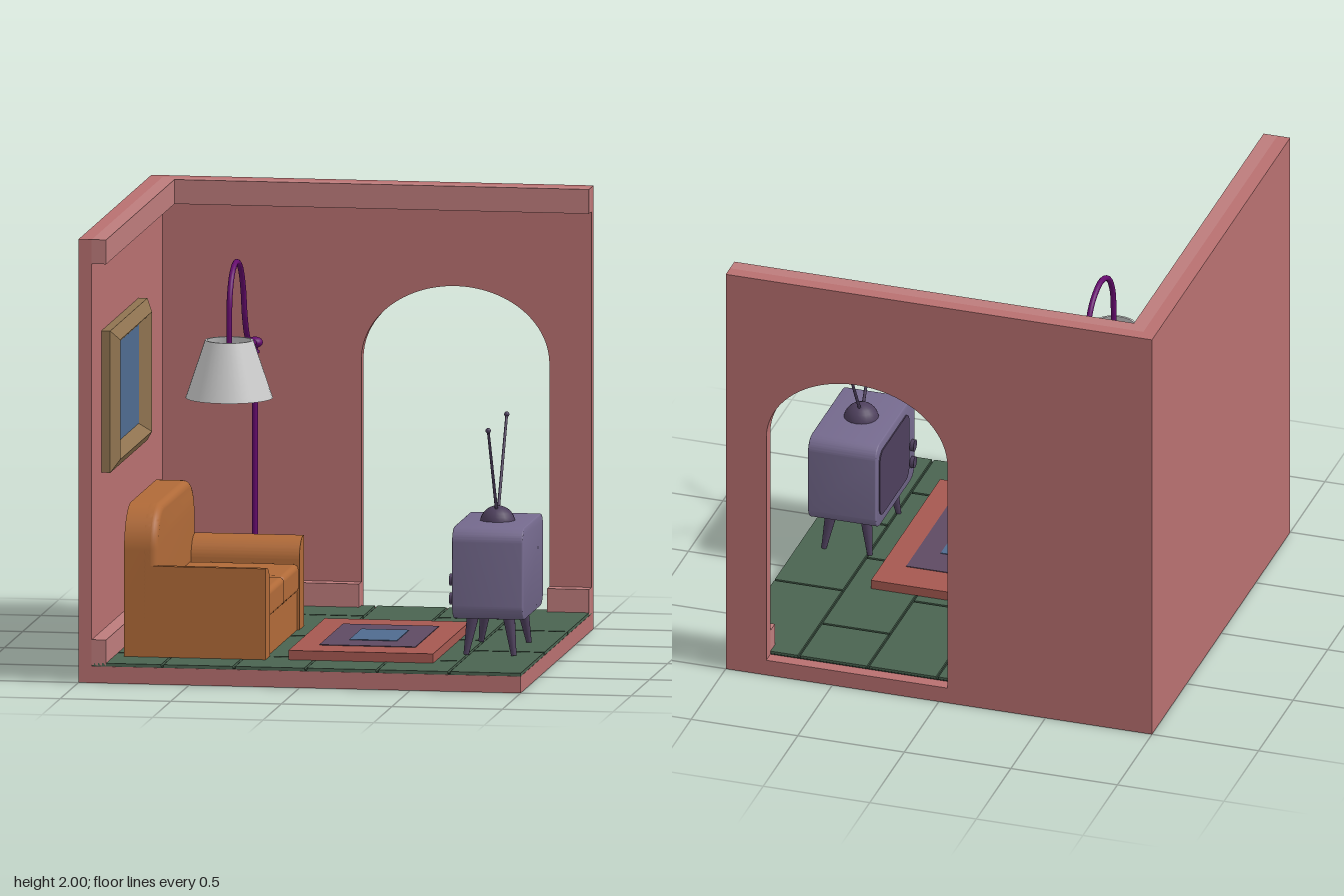
import * as THREE from 'three';
import { toCreasedNormals } from 'three/addons/utils/BufferGeometryUtils.js';
import { RoundedBoxGeometry } from 'three/addons/geometries/RoundedBoxGeometry.js';

const paint = (color) => new THREE.MeshStandardMaterial({ color, side: THREE.DoubleSide });
const WALL = paint(0xb87070), TRIM = paint(0xbd7c7c), TILE = paint(0x4a6350), GROUT = paint(0x2b3b30);
const SOFA = paint(0xb06a38), FRAME = paint(0x8f7350), BLUE = paint(0x4f6b8f), RUG = paint(0xa55850);
const RUG_MID = paint(0x5e4a62), TV = paint(0x756a8e), DARK = paint(0x4d3f5c), PURPLE = paint(0x640a6c);
const GREY = paint(0xcccccc);

function add(parent, name, geometry, material) {
  const mesh = new THREE.Mesh(geometry, material);
  mesh.name = name;
  parent.add(mesh);
  return mesh;
}

function group(parent, name) {
  const g = new THREE.Group();
  g.name = name;
  parent.add(g);
  return g;
}

// Box given by its lowest and highest corners, optionally rounded
function box(x0, x1, y0, y1, z0, z1, r = 0) {
  const s = [x1 - x0, y1 - y0, z1 - z0];
  const g = r ? new RoundedBoxGeometry(...s, 3, r) : new THREE.BoxGeometry(...s);
  return g.translate((x0 + x1) / 2, (y0 + y1) / 2, (z0 + z1) / 2);
}

// Rectangle in (z, y) with radii for bottom-low-z, bottom-high-z, top-high-z, top-low-z corners
function panel(z0, z1, y0, y1, [a, b, c, d]) {
  const s = new THREE.Shape();
  s.moveTo(z0 + a, y0);
  s.lineTo(z1 - b, y0);
  if (b) s.absarc(z1 - b, y0 + b, b, -Math.PI / 2, 0);
  s.lineTo(z1, y1 - c);
  if (c) s.absarc(z1 - c, y1 - c, c, 0, Math.PI / 2);
  s.lineTo(z0 + d, y1);
  if (d) s.absarc(z0 + d, y1 - d, d, Math.PI / 2, Math.PI);
  s.lineTo(z0, y0 + a);
  if (a) s.absarc(z0 + a, y0 + a, a, Math.PI, Math.PI * 1.5);
  return s;
}

// Extrude a (z, y) shape along x from x0 to x1
function alongX(shape, x0, x1, bevel = 0) {
  const g = new THREE.ExtrudeGeometry(shape, {
    depth: x1 - x0 - 2 * bevel, curveSegments: 12, bevelEnabled: bevel > 0,
    bevelThickness: bevel, bevelSize: bevel, bevelOffset: -bevel, bevelSegments: 4,
  });
  g.rotateY(-Math.PI / 2).translate(x1 - bevel, 0, 0);
  return toCreasedNormals(g, 0.6);
}

// Tapered rod between two points
function rod(a, b, ra, rb) {
  const from = new THREE.Vector3(...a), to = new THREE.Vector3(...b);
  const dir = to.clone().sub(from);
  const g = new THREE.CylinderGeometry(rb, ra, dir.length(), 14);
  g.applyQuaternion(new THREE.Quaternion().setFromUnitVectors(new THREE.Vector3(0, 1, 0), dir.normalize()));
  return g.translate(...from.add(to).multiplyScalar(0.5).toArray());
}

const ball = (r, x, y, z) => new THREE.SphereGeometry(r, 20, 14).translate(x, y, z);
const lathe = (pts) => new THREE.LatheGeometry(pts.map((p) => new THREE.Vector2(...p)), 40);

function buildRoom(root) {
  const room = group(root, 'room');
  add(room, 'base', box(-1, 1, 0, 0.075, -1, 1), WALL);
  add(room, 'sideWall', box(-1, -0.94, 0.075, 2, -1, 1), WALL);
  // Back wall with the arched doorway cut up from its foot
  const s = new THREE.Shape();
  s.moveTo(-0.94, 0.075);
  s.lineTo(-0.04, 0.075);
  s.lineTo(-0.04, 1.2);
  s.absellipse(0.385, 1.2, 0.425, 0.34, Math.PI, 0, true);
  s.lineTo(0.81, 0.075);
  s.lineTo(1, 0.075);
  s.lineTo(1, 2);
  s.lineTo(-0.94, 2);
  const wall = new THREE.ExtrudeGeometry(s, { depth: 0.06, bevelEnabled: false, curveSegments: 32 });
  add(room, 'backWall', toCreasedNormals(wall.translate(0, 0, -1), 0.6), WALL);
  // Crown moulding and skirting
  add(room, 'sideCrown', box(-0.94, -0.875, 1.89, 2, -0.94, 1), TRIM);
  add(room, 'backCrown', box(-0.875, 1, 1.89, 2, -0.94, -0.875), TRIM);
  add(room, 'sideSkirting', box(-0.94, -0.875, 0.08, 0.195, -0.94, 1), TRIM);
  add(room, 'backSkirting', box(-0.875, -0.04, 0.08, 0.195, -0.94, -0.875), TRIM);
  add(room, 'doorSkirting', box(0.81, 1, 0.08, 0.195, -0.94, -0.875), TRIM);
  // Staggered floor tiles over dark grout
  add(room, 'grout', box(-0.94, 0.998, 0.075, 0.08, -0.94, 0.998), GROUT);
  const rows = [[-0.945, -0.62, 0.03, 0.675, 1], [-0.945, -0.295, 0.35, 1]];
  const gap = 0.006;
  for (let c = 0; c < 6; c++) {
    const x = -0.945 + c * 0.3242, ends = rows[c % 2];
    for (let i = 0; i + 1 < ends.length; i++) {
      add(room, 'floorTile', box(x + gap, c === 5 ? 1 : x + 0.3242 - gap, 0.076, 0.09,
        ends[i] + gap, ends[i + 1] === 1 ? 1 : ends[i + 1] - gap), TILE);
    }
  }
}

function buildSofa(root) {
  const sofa = group(root, 'sofa');
  const back = panel(-0.275, 0.78, 0.09, 0.76, [0, 0, 0.19, 0.19]);
  add(sofa, 'backrest', alongX(back, -0.83, -0.71), SOFA);
  add(sofa, 'backrestFront', alongX(back, -0.77, -0.68, 0.03), SOFA);
  add(sofa, 'leftArm', alongX(panel(0.655, 0.78, 0.09, 0.5, [0, 0, 0, 0.1]), -0.72, -0.19), SOFA);
  add(sofa, 'rightArm', alongX(panel(-0.275, -0.145, 0.09, 0.5, [0, 0, 0.1, 0]), -0.72, -0.19), SOFA);
  add(sofa, 'seatBase', box(-0.72, -0.2, 0.09, 0.265, -0.15, 0.66), SOFA);
  add(sofa, 'seatCushion', box(-0.7, -0.19, 0.26, 0.39, -0.145, 0.252, 0.025), SOFA);
  add(sofa, 'seatCushion', box(-0.7, -0.19, 0.26, 0.39, 0.254, 0.655, 0.025), SOFA);
}

function buildRug(root) {
  const rug = group(root, 'rug');
  add(rug, 'rugBorder', box(-0.09, 0.565, 0.09, 0.132, -0.24, 0.76), RUG);
  add(rug, 'rugField', box(0.02, 0.455, 0.12, 0.135, -0.07, 0.58), RUG_MID);
  add(rug, 'rugCentre', box(0.13, 0.345, 0.12, 0.138, 0.09, 0.42), BLUE);
}

function buildTelevision(root) {
  const tv = group(root, 'television');
  const r = 0.065;
  add(tv, 'cabinet', alongX(panel(-0.015, 0.55, 0.255, 0.67, [r, r, r, r]), 0.615, 0.935, 0.006), TV);
  add(tv, 'screen', alongX(panel(0.03, 0.455, 0.3, 0.625, [0.05, 0.05, 0.05, 0.05]), 0.61, 0.63), DARK);
  for (const y of [0.345, 0.43]) {
    add(tv, 'knob', new THREE.CylinderGeometry(0.027, 0.027, 0.03, 20).rotateZ(Math.PI / 2).translate(0.613, y, 0.5), DARK);
  }
  for (const i of [-1, 1]) {
    for (const k of [-1, 1]) {
      add(tv, 'leg', rod([0.775 + i * 0.108, 0.09, 0.267 + k * 0.208],
        [0.775 + i * 0.08, 0.27, 0.267 + k * 0.18], 0.012, 0.028), DARK);
    }
    const tip = [0.775, 1.11, 0.27 + i * 0.255];
    add(tv, 'antenna', rod([0.775, 0.7, 0.27 + i * 0.015], tip, 0.007, 0.006), DARK);
    add(tv, 'antennaTip', ball(0.012, ...tip), DARK);
  }
  add(tv, 'antennaDome', ball(0.08, 0.775, 0.655, 0.267), DARK);
}

function buildLamp(root) {
  const lamp = group(root, 'floorLamp');
  lamp.position.set(-0.47, 0, -0.625);
  // Foot, post and joint turned as one profile
  add(lamp, 'foot', lathe([[0, 0.09], [0.165, 0.09], [0.178, 0.098], [0.18, 0.11], [0.173, 0.127],
    [0.155, 0.135], [0.032, 0.137], [0.03, 0.155], [0.014, 0.165]]), PURPLE);
  add(lamp, 'post', rod([0, 0.13, 0], [0, 1.31, 0], 0.013, 0.013), PURPLE);
  add(lamp, 'collar', new THREE.TorusGeometry(0.014, 0.008, 8, 24).rotateX(Math.PI / 2).translate(0, 1.27, 0), PURPLE);
  add(lamp, 'joint', ball(0.036, 0, 0, 0).scale(1, 0.7, 1).translate(0, 1.312, 0), PURPLE);
  // Gooseneck arm
  const path = [[0, 1.312], [0.1, 1.322], [0.21, 1.37], [0.277, 1.47], [0.32, 1.6], [0.395, 1.705],
    [0.515, 1.748], [0.625, 1.71], [0.688, 1.62], [0.705, 1.5], [0.705, 1.39]];
  const curve = new THREE.CatmullRomCurve3(path.map(([z, y]) => new THREE.Vector3(0, y, z)));
  add(lamp, 'arm', new THREE.TubeGeometry(curve, 80, 0.013, 12), PURPLE);
  add(lamp, 'armEnd', ball(0.014, 0, 1.39, 0.705), PURPLE);
  // Open shade with a thin wall
  const shade = lathe([[0.195, 1.165], [0.108, 1.425], [0.098, 1.425], [0.183, 1.165], [0.195, 1.165]]);
  add(lamp, 'shade', toCreasedNormals(shade, 0.6), GREY).position.z = 0.705;
}

function buildPicture(root) {
  const picture = group(root, 'wallPicture');
  picture.position.set(0, 1.23, 0.225);
  // Rectangular rings from the wall out to the ridge and back in: x, half width, half height
  const rings = [[-0.94, 0.51, 0.32], [-0.9, 0.51, 0.32], [-0.867, 0.435, 0.27], [-0.915, 0.355, 0.222]];
  const corner = ([x, w, h], k) => [x, k % 4 < 2 ? -h : h, k % 4 === 0 || k % 4 === 3 ? w : -w];
  const pos = [];
  for (let i = 0; i < 3; i++) {
    for (let k = 0; k < 4; k++) {
      const a = corner(rings[i], k), b = corner(rings[i], k + 1);
      const c = corner(rings[i + 1], k + 1), d = corner(rings[i + 1], k);
      pos.push(...a, ...b, ...c, ...a, ...c, ...d);
    }
  }
  const g = new THREE.BufferGeometry();
  g.setAttribute('position', new THREE.Float32BufferAttribute(pos, 3));
  g.computeVertexNormals();
  add(picture, 'pictureFrame', g, FRAME);
  add(picture, 'canvas', box(-0.94, -0.914, -0.225, 0.225, -0.358, 0.358), BLUE);
}

export function createModel() {
  const root = new THREE.Group();
  root.name = 'livingRoom';
  [buildRoom, buildSofa, buildRug, buildTelevision, buildLamp, buildPicture].forEach((build) => build(root));
  return root;
}
